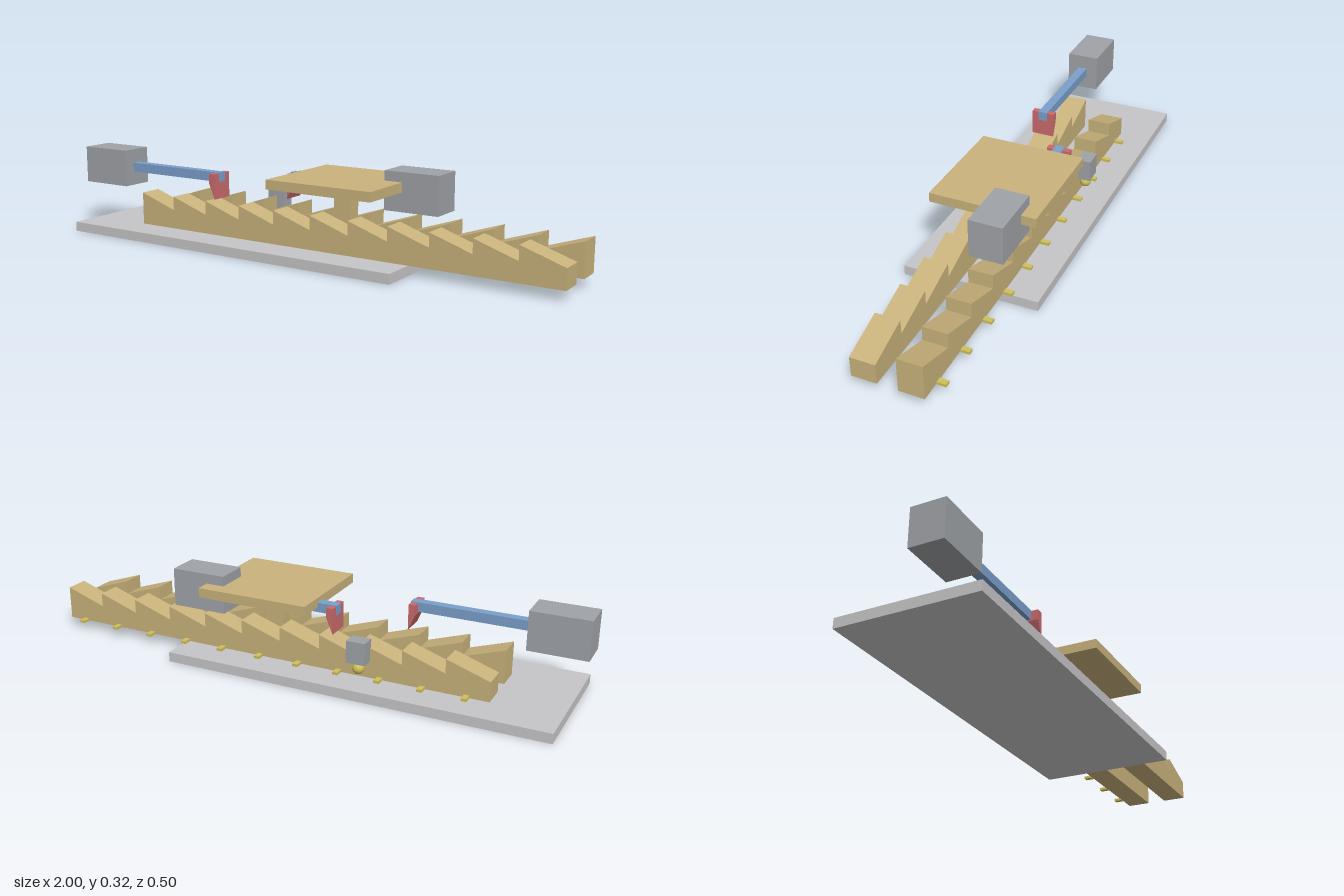
import * as THREE from 'three';

const mat = (name, color) => {
  const m = new THREE.MeshStandardMaterial({ color });
  m.name = name;
  return m;
};

export function createModel() {
  const wood = mat('wood', 0xc9b27c);
  const plate = mat('light grey', 0xc6c6c8);
  const grey = mat('grey', 0x9fa2a7);
  const blue = mat('blue', 0x7a9fcb);
  const red = mat('red', 0xc96a6c);
  const yellow = mat('yellow', 0xcfc05a);

  const model = new THREE.Group();
  model.name = 'rackMechanism';

  const add = (name, geometry, material) => {
    const mesh = new THREE.Mesh(geometry, material);
    mesh.name = name;
    model.add(mesh);
    return mesh;
  };

  // Box given by its limits on each axis
  const box = (name, material, [x0, x1], [y0, y1], [z0, z1]) =>
    add(name, new THREE.BoxGeometry(x1 - x0, y1 - y0, z1 - z0), material)
      .position.set((x0 + x1) / 2, (y0 + y1) / 2, (z0 + z1) / 2);

  // Side profile in x and y, extruded along z
  const prism = (name, material, points, z, depth) => {
    const shape = new THREE.Shape(points.map(([x, y]) => new THREE.Vector2(x, y)));
    const geometry = new THREE.ExtrudeGeometry(shape, { depth, bevelEnabled: false });
    add(name, geometry, material).position.z = z - depth / 2;
  };

  const x0 = -0.72, x1 = 1, teeth = 11, pitch = (x1 - x0) / teeth;
  const floor = 0.036, low = 0.108, high = 0.16;

  box('basePlate', plate, [-0.965, 0.455], [0, floor], [-0.25, 0.25]);

  // Ratchet racks; the teeth of the two racks lean opposite ways
  const rack = (name, z, leansRight) => {
    const points = [[x0, floor], [x1, floor]];
    for (let i = teeth; i > 0; i--) {
      points.push([x0 + i * pitch, leansRight ? high : low]);
      points.push([x0 + (i - 1) * pitch, leansRight ? low : high]);
    }
    prism(name, wood, points, z, 0.089);
  };
  rack('frontRack', 0.0805, false);
  rack('backRack', -0.0805, true);

  // Linear actuators: housing, rod and pawl
  const actuator = (name, z, housing, rod, tipX, dir) => {
    box(name + 'Housing', grey, housing, [0.18, 0.321], [z - 0.062, z + 0.062]);
    box(name + 'Rod', blue, rod, [0.233, 0.268], [z - 0.0175, z + 0.0175]);
    const back = tipX - dir * 0.025;
    prism(name + 'Pawl', red,
      [[back, 0.265], [back, 0.228], [tipX, 0.17], [tipX, 0.265]], z, 0.088);
  };
  actuator('front', 0.0805, [-1, -0.79], [-0.79, -0.36], -0.362, 1);
  actuator('back', -0.0805, [0.28, 0.49], [-0.149, 0.28], -0.147, -1);

  // Table on its stem
  box('tableTop', wood, [-0.075, 0.35], [0.25, 0.285], [-0.197, 0.197]);
  box('tableStem', wood, [0.1, 0.17], [low, 0.25], [-0.026, 0.026]);

  // Sensor with its round probe behind the back rack
  box('sensorBody', grey, [-0.29, -0.22], [0.098, 0.179], [-0.172, -0.117]);
  add('sensorProbe', new THREE.SphereGeometry(0.021, 24, 16), yellow)
    .position.set(-0.255, 0.073, -0.143);

  // One marker peg behind each tooth
  for (let i = 0; i < teeth; i++) {
    const x = x0 + (i + 0.5) * pitch;
    box('markerPeg', yellow, [x - 0.01, x + 0.01], [floor + 0.001, 0.047], [-0.16, -0.128]);
  }

  return model;
}
